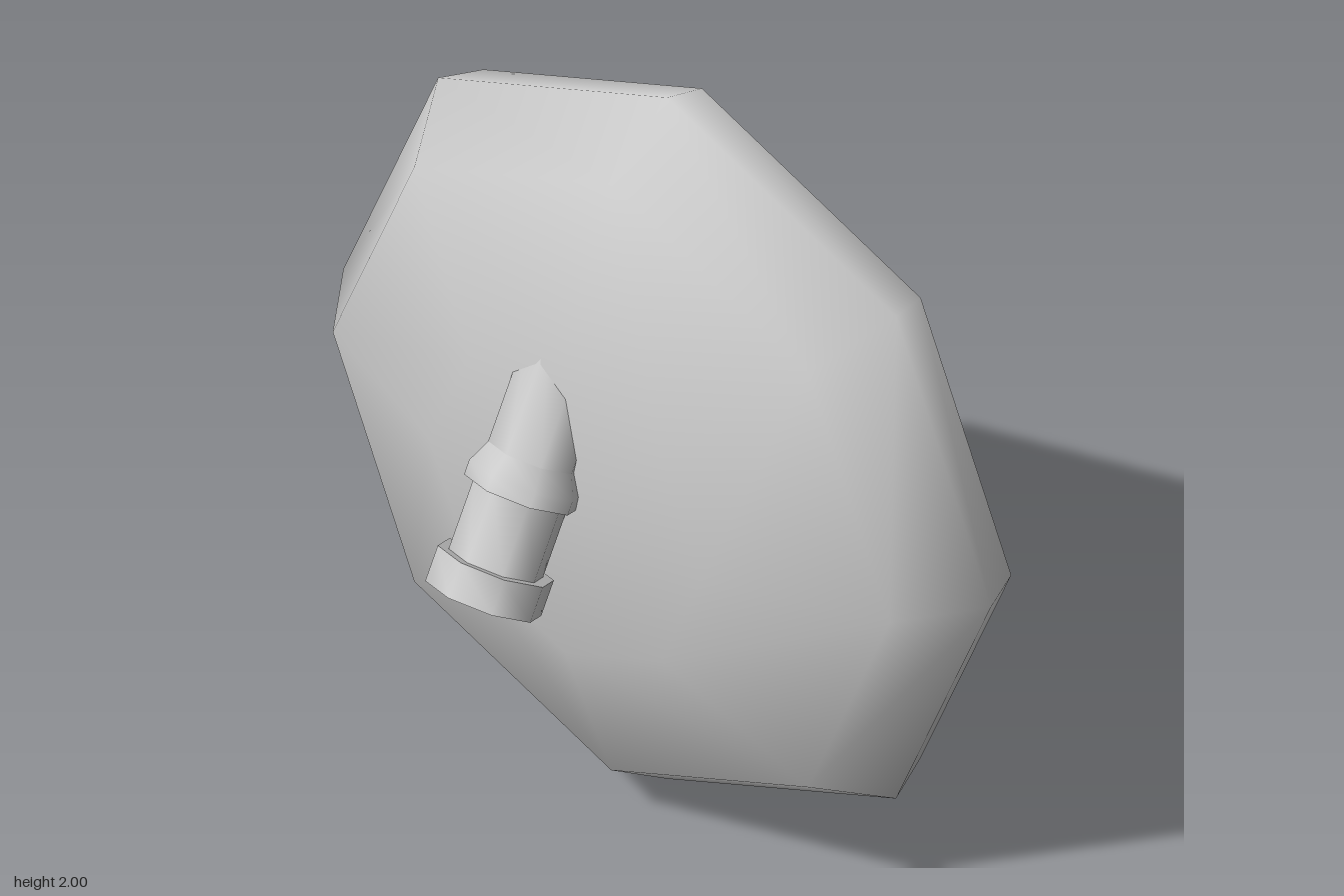
import * as THREE from 'three';
import { toCreasedNormals } from 'three/addons/utils/BufferGeometryUtils.js';

const SIDES = 8;

// Eight-sided revolved shell from [radius, height] pairs, listed bottom to top
function revolve(profile) {
  return new THREE.LatheGeometry(profile.map(([r, h]) => new THREE.Vector2(r, h)), SIDES);
}

export function createModel() {
  const model = new THREE.Group();
  const material = new THREE.MeshStandardMaterial({ color: 0xcccccc, side: THREE.DoubleSide });

  // Shallow bowl, open at the back, bulging to the front
  const dish = new THREE.Mesh(
    revolve([[0.955, -0.41], [1, -0.285], [0.86, -0.085], [0.42, 0.08], [0, 0.08]]),
    material
  );
  dish.name = 'dish';
  dish.rotation.x = Math.PI / 2;
  dish.position.y = 1;
  model.add(dish);

  // Tilted nozzle passing through the bowl, its mouth pointing down and forward
  const nozzle = new THREE.Group();
  nozzle.name = 'nozzle';
  nozzle.position.set(-0.08, 0.815, 0.28);
  nozzle.rotation.x = -Math.PI / 6;
  model.add(nozzle);

  const parts = {
    // Collar with a recessed mouth
    mouthCollar: [[0, 0.045], [0.1, 0.045], [0.105, 0], [0.145, 0], [0.145, 0.09], [0.116, 0.09]],
    neck: [[0.118, 0.09], [0.118, 0.275]],
    // Flared shoulder leading into the open upper pipe
    shoulder: [[0.116, 0.272], [0.143, 0.272], [0.143, 0.309], [0.114, 0.367]],
    upperPipe: [[0.115, 0.365], [0.115, 0.666]],
  };
  for (const [name, profile] of Object.entries(parts)) {
    const part = new THREE.Mesh(toCreasedNormals(revolve(profile), Math.PI / 3.5), material);
    part.name = name;
    nozzle.add(part);
  }

  return model;
}
